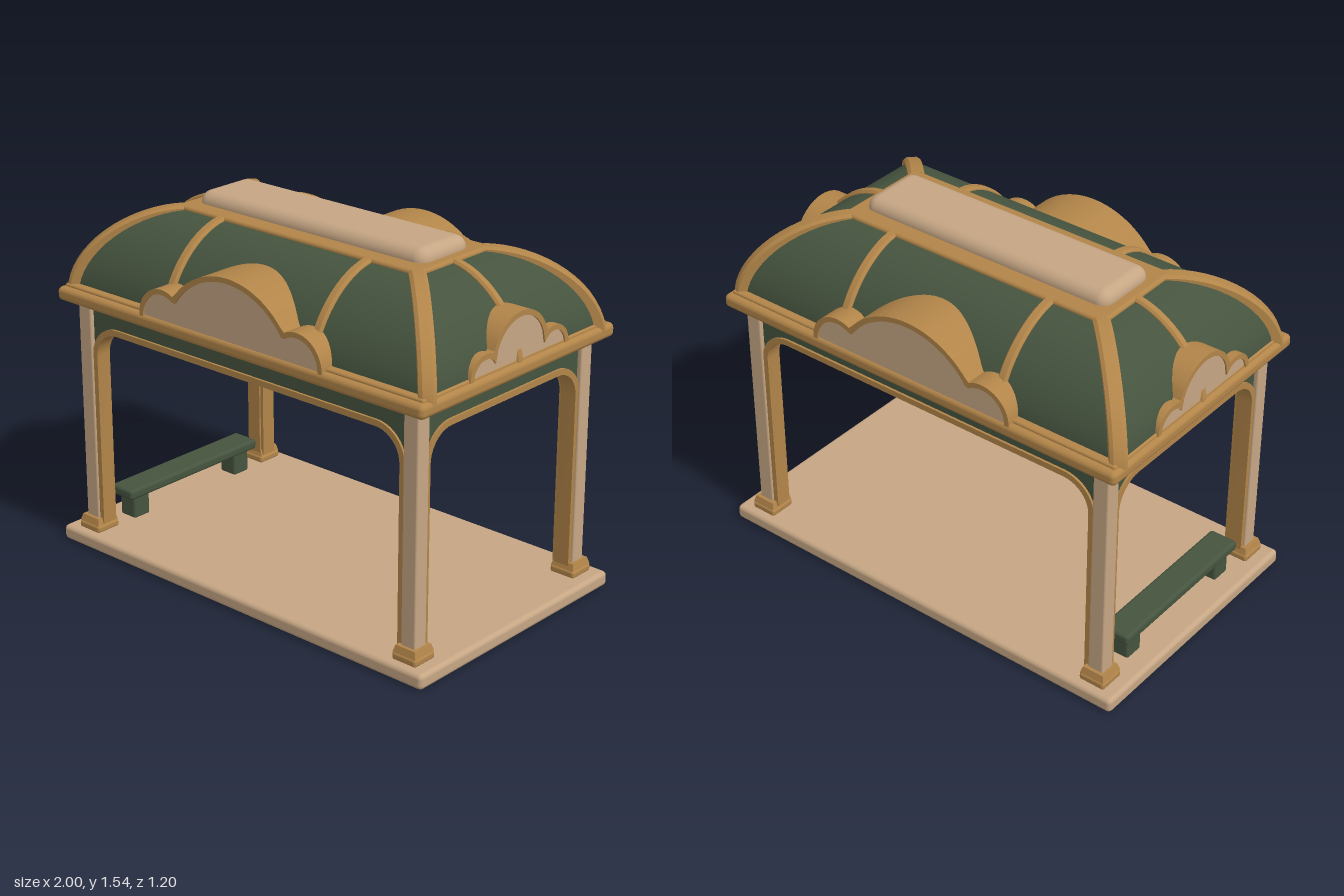
import * as THREE from 'three';
import { toCreasedNormals } from 'three/addons/utils/BufferGeometryUtils.js';
import { RoundedBoxGeometry } from 'three/addons/geometries/RoundedBoxGeometry.js';

const paint = (name, color) => {
  const m = new THREE.MeshStandardMaterial({ color });
  m.name = name;
  return m;
};

export function createModel() {
  const model = new THREE.Group();
  const cream = paint('cream', 0xc6a684);
  const gold = paint('ochre', 0xb28549);
  const green = paint('dark green', 0x46543f);

  const add = (name, geometry, material, parent = model) => {
    const mesh = new THREE.Mesh(geometry, material);
    mesh.name = name;
    parent.add(mesh);
    return mesh;
  };
  // rounded block given by its min and max corners
  const block = (name, x0, x1, y0, y1, z0, z1, r, material, parent = model) => {
    const g = new RoundedBoxGeometry(x1 - x0, y1 - y0, z1 - z0, 3, r);
    const mesh = add(name, g, material, parent);
    mesh.position.set((x0 + x1) / 2, (y0 + y1) / 2, (z0 + z1) / 2);
    return mesh;
  };
  // flat outline pushed out from z0 to z1
  const slab = (name, points, z0, z1, material, parent, hole) => {
    const shape = new THREE.Shape(points);
    if (hole) shape.holes.push(new THREE.Path(hole));
    const g = new THREE.ExtrudeGeometry(shape, { depth: z1 - z0, bevelEnabled: false });
    g.translate(0, 0, z0);
    return add(name, toCreasedNormals(g, 0.6), material, parent);
  };
  // surface through rows of points
  const sheet = (rows) => {
    const n = rows[0].length, index = [];
    for (let i = 0; i < rows.length - 1; i++) {
      for (let j = 0; j < n - 1; j++) {
        const a = i * n + j, b = a + n;
        index.push(a, a + 1, b, a + 1, b + 1, b);
      }
    }
    const g = new THREE.BufferGeometry().setFromPoints(rows.flat());
    g.setIndex(index);
    return toCreasedNormals(g, 0.6);
  };

  // Floor
  block('floor', -1, 1, 0, 0.065, -0.6, 0.6, 0.02, cream);

  // Posts with tapered feet
  for (const sx of [-1, 1]) {
    for (const sz of [-1, 1]) {
      const post = new THREE.Group();
      post.name = 'cornerPost';
      post.position.set(sx * 0.879, 0, sz * 0.502);
      model.add(post);
      block('postShaft', -0.036, 0.036, 0.06, 1.1, -0.034, 0.034, 0.008, cream, post);
      block('postFootBase', -0.06, 0.06, 0.06, 0.095, -0.06, 0.06, 0.012, gold, post);
      const foot = new THREE.CylinderGeometry(0.068, 0.08, 0.03, 4);
      foot.rotateY(Math.PI / 4);
      add('postFootTop', toCreasedNormals(foot, 0.5), gold, post).position.y = 0.108;
    }
  }

  // Arched trims and green fascia on all four sides
  const arch = (half, top, r) => {
    const pts = [new THREE.Vector2(half, 0.1)];
    for (let i = 0; i <= 10; i++) {
      const a = (i / 10) * Math.PI / 2;
      pts.push(new THREE.Vector2(half - r + r * Math.cos(a), top - r + r * Math.sin(a)));
    }
    return pts.concat(pts.map(p => new THREE.Vector2(-p.x, p.y)).reverse());
  };
  for (const [half, dist, turn] of [[0.82, 0.5, 0], [0.45, 0.877, 1], [0.82, 0.5, 2], [0.45, 0.877, 3]]) {
    const side = new THREE.Group();
    side.name = 'archedSide';
    side.rotation.y = turn * Math.PI / 2;
    model.add(side);
    const inner = arch(half, 0.98, 0.12), outer = arch(half + 0.026, 1.006, 0.146);
    slab('archTrim', outer.concat([...inner].reverse()), dist - 0.042, dist + 0.028, gold, side);
    const w = half + 0.045;
    const corners = [[w, 0.1], [w, 1.11], [-w, 1.11], [-w, 0.1]].map(p => new THREE.Vector2(...p));
    slab('fascia', corners.concat([...outer].reverse()), dist - 0.025, dist + 0.018, green, side);
  }
  add('ceiling', new THREE.BoxGeometry(1.76, 0.02, 1.0), green).position.y = 1.095;

  // Cornice
  block('cornice', -0.98, 0.98, 1.092, 1.152, -0.595, 0.595, 0.022, gold);
  block('corniceLip', -0.96, 0.96, 1.14, 1.164, -0.565, 0.565, 0.01, gold);

  // Curved roof: a hipped shell following one quarter curve
  const TX = 0.62, TZ = 0.2, STEPS = 16;
  const curve = [];
  for (let i = 0; i <= STEPS; i++) {
    const a = (i / STEPS) * Math.PI / 2;
    curve.push([0.335 * Math.max(0, Math.cos(a)) ** 1.12, 1.13 + 0.345 * Math.sin(a) ** 1.12]);
  }
  for (const [along, out, turn] of [[TX, TZ, 0], [TZ, TX, 1], [TX, TZ, 2], [TZ, TX, 3]]) {
    const rows = curve.map(([o, y]) => [-1, 1].map(s => new THREE.Vector3(s * (along + o), y, out + o)));
    add('roofPanel', sheet(rows), green).rotation.y = turn * Math.PI / 2;
  }

  // Ribs swept up the roof curve, outward along (dx, dz)
  const rib = (name, x, z, dx, dz, half) => {
    const d = new THREE.Vector3(dx, 0, dz);
    const w = new THREE.Vector3(dz, 0, -dx).normalize();
    const pts = curve.map(([o, y]) => new THREE.Vector3(x, y, z).addScaledVector(d, o));
    const rows = pts.map((p, i) => {
      const t = pts[Math.min(i + 1, STEPS)].clone().sub(pts[Math.max(i - 1, 0)]).normalize();
      const n = new THREE.Vector3().crossVectors(w, t);
      return [[-1, -0.04], [-1, 0.004], [-0.6, 0.014], [0.6, 0.014], [1, 0.004], [1, -0.04]].map(([u, v]) =>
        p.clone().addScaledVector(w, u * half).addScaledVector(n, v));
    });
    add(name, sheet(rows), gold);
  };
  for (const s of [-1, 1]) {
    for (const t of [-1, 1]) {
      rib('hipRib', s * TX, t * TZ, s, t, 0.034);
      rib('roofRib', s * 0.39, t * TZ, 0, t, 0.022);
    }
    rib('endRib', s * TX, 0, s, 0, 0.02);
  }

  // Roof top frame and skylight cap
  block('topFrame', -0.645, 0.645, 1.455, 1.489, -0.222, 0.222, 0.014, gold);
  block('roofCap', -0.6, 0.6, 1.43, 1.541, -0.147, 0.147, 0.05, cream);

  // Scalloped gables: outline is the upper edge of three overlapping circles
  const scallop = (circles, inset, base) => {
    const end = Math.max(...circles.map(([c, , r]) => c + r)) - inset;
    const pts = [new THREE.Vector2(-end, base), new THREE.Vector2(end, base)];
    const N = 72;
    for (let i = 0; i <= N; i++) {
      const x = end * Math.cos((i / N) * Math.PI);
      const y = Math.max(...circles.map(([c, cy, r]) => {
        const q = (r - inset) ** 2 - (x - c) ** 2;
        return q > -1e-9 ? cy + Math.sqrt(Math.max(q, 0)) : base;
      }));
      pts.push(new THREE.Vector2(x, y));
    }
    return pts;
  };
  const longGable = [[0, 1.04, 0.37], [0.36, 1.15, 0.13], [-0.36, 1.15, 0.13]];
  const endGable = [[0, 1.185, 0.171], [0.21, 1.15, 0.092], [-0.21, 1.15, 0.092]];
  for (const [circles, back, front, turn] of [
    [longGable, 0.24, 0.575, 0], [endGable, 0.72, 0.95, 1],
    [longGable, 0.24, 0.575, 2], [endGable, 0.72, 0.95, 3]]) {
    const gable = new THREE.Group();
    gable.name = 'scallopedGable';
    gable.rotation.y = turn * Math.PI / 2;
    model.add(gable);
    const outline = scallop(circles, 0, 1.13), inside = scallop(circles, 0.022, 1.14);
    slab('gableBody', outline, back, front, gold, gable);
    slab('gableRim', outline, front, front + 0.015, gold, gable, inside);
    slab('gableFace', inside, front, front + 0.008, cream, gable);
  }

  // Bench along one end
  const bench = new THREE.Group();
  bench.name = 'bench';
  model.add(bench);
  block('benchSeat', -0.925, -0.795, 0.162, 0.208, -0.388, 0.388, 0.015, green, bench);
  for (const s of [-1, 1]) {
    block('benchLeg', -0.905, -0.815, 0.06, 0.17, s * 0.308 - 0.045, s * 0.308 + 0.045, 0.012, green, bench);
  }

  return model;
}
